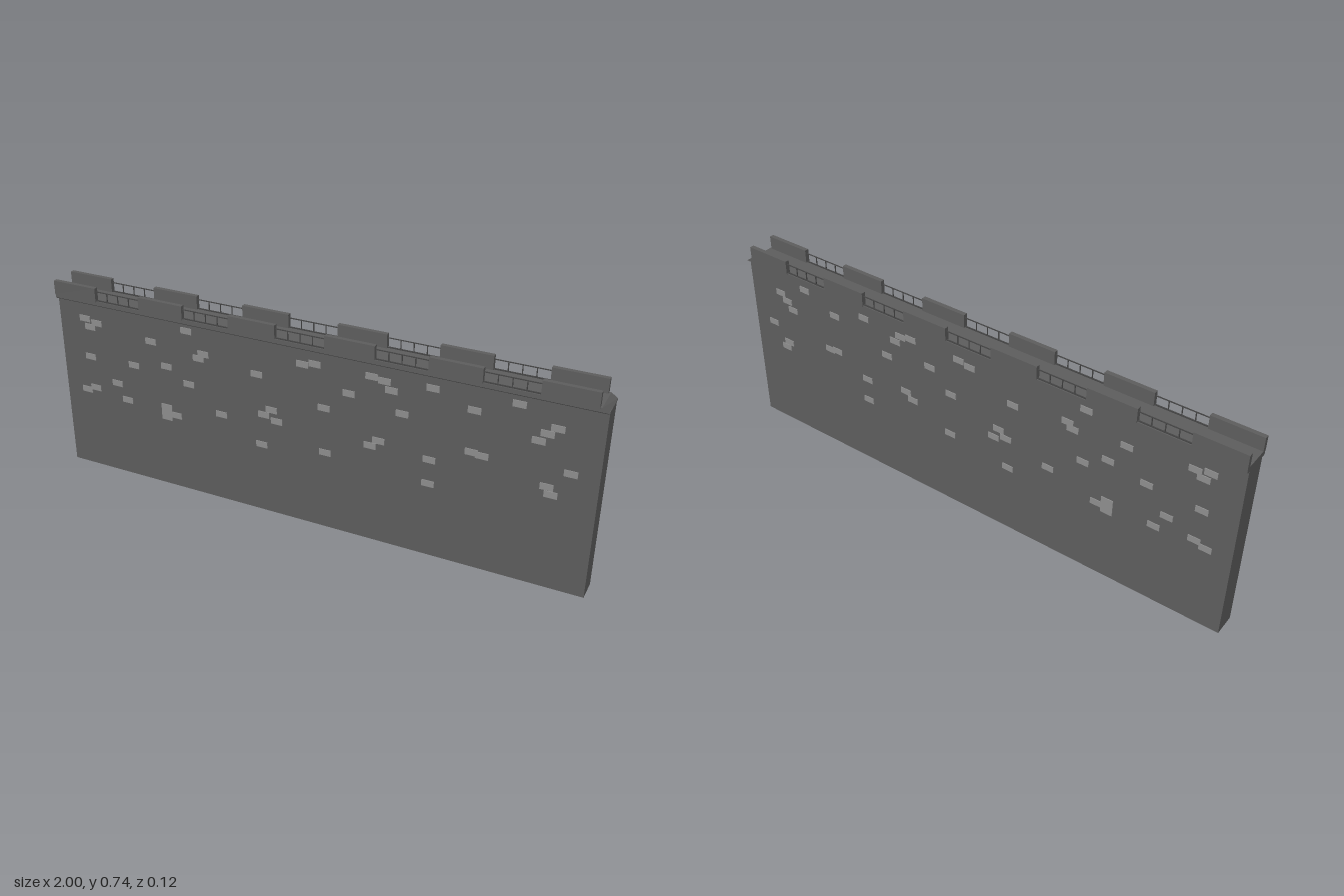
import * as THREE from 'three';

const stone = new THREE.MeshStandardMaterial({ color: 0x5c5c5c, side: THREE.DoubleSide });
const paleStone = new THREE.MeshStandardMaterial({ color: 0x8c8c8c });
const iron = new THREE.MeshStandardMaterial({ color: 0x444444 });

// Brick centres on the wall face, as x, y pairs
const BRICKS = [
  -0.89, 0.61, -0.84, 0.60, -0.87, 0.58, -0.88, 0.46, -0.91, 0.32, -0.87, 0.335, -0.77, 0.375,
  -0.73, 0.315, -0.69, 0.465, -0.61, 0.575, -0.55, 0.49, -0.56, 0.325, -0.56, 0.285, -0.52, 0.30,
  -0.56, 0.305, -0.46, 0.44, -0.46, 0.645, -0.395, 0.57, -0.415, 0.55, -0.33, 0.35, -0.185, 0.54,
  -0.17, 0.27, -0.16, 0.39, -0.13, 0.415, -0.11, 0.375, -0.01, 0.615, 0.035, 0.625, 0.07, 0.47,
  0.075, 0.30, 0.16, 0.545, 0.24, 0.625, 0.285, 0.618, 0.31, 0.59, 0.35, 0.515, 0.27, 0.395,
  0.24, 0.37, 0.45, 0.63, 0.45, 0.37, 0.45, 0.28, 0.59, 0.585, 0.59, 0.435, 0.625, 0.43,
  0.73, 0.64, 0.855, 0.585, 0.825, 0.56, 0.80, 0.53, 0.91, 0.44, 0.84, 0.375, 0.855, 0.35,
];

function box(parent, name, material, w, h, d, x, y, z) {
  const mesh = new THREE.Mesh(new THREE.BoxGeometry(w, h, d), material);
  mesh.name = name;
  mesh.position.set(x, y, z);
  parent.add(mesh);
  return mesh;
}

// Ledge section with chamfered undersides, swept along x; the +x end slopes in at the top
function ledgeGeometry() {
  const section = new THREE.Shape([
    [-0.05, 0.672], [0.05, 0.672], [0.056, 0.677], [0.056, 0.692], [-0.056, 0.692], [-0.056, 0.677],
  ].map(([z, y]) => new THREE.Vector2(z, y)));
  const geo = new THREE.ExtrudeGeometry(section, { depth: 2, bevelEnabled: false });
  geo.rotateY(Math.PI / 2).translate(-1, 0, 0);
  const p = geo.attributes.position;
  for (let i = 0; i < p.count; i++) {
    if (p.getX(i) > 0.9 && p.getY(i) > 0.685) p.setX(i, 0.978);
  }
  geo.computeVertexNormals();
  return geo;
}

export function createModel() {
  const model = new THREE.Group();
  model.name = 'battlementWall';

  // Hollow wall body, open underneath
  const body = box(model, 'wallBody', stone, 2, 0.675, 0.082, 0, 0.3375, 0);
  const index = Array.from(body.geometry.index.array);
  index.splice(18, 6);
  body.geometry.setIndex(index);
  body.geometry.clearGroups();

  const ledge = new THREE.Mesh(ledgeGeometry(), stone);
  ledge.name = 'walkwayLedge';
  model.add(ledge);

  const pitch = 0.359, merlonWidth = 0.177;
  for (const side of [1, -1]) {
    const label = side > 0 ? 'front' : 'back';

    // Raised bricks
    const bricks = new THREE.Group();
    bricks.name = label + 'Bricks';
    for (let i = 0; i < BRICKS.length; i += 2) {
      box(bricks, 'brick', paleStone, 0.044, 0.023, 0.008, BRICKS[i], BRICKS[i + 1], side * 0.04);
    }
    model.add(bricks);

    // Merlons with railings in the gaps
    const parapet = new THREE.Group();
    parapet.name = label + 'Parapet';
    for (let i = 0; i < 6; i++) {
      const start = -1 + i * pitch;
      box(parapet, 'merlon', stone, merlonWidth, 0.052, 0.016,
        start + merlonWidth / 2, 0.715, side * 0.05);
      if (i === 5) continue;
      const gap = pitch - merlonWidth, gapStart = start + merlonWidth;
      box(parapet, 'handrail', iron, gap, 0.003, 0.003, gapStart + gap / 2, 0.727, side * 0.05);
      box(parapet, 'bottomRail', iron, gap, 0.004, 0.004, gapStart + gap / 2, 0.694, side * 0.05);
      for (let k = 1; k < 4; k++) {
        box(parapet, 'railPost', iron, 0.003, 0.036, 0.003,
          gapStart + gap * k / 4, 0.709, side * 0.05);
      }
    }
    model.add(parapet);
  }
  return model;
}
